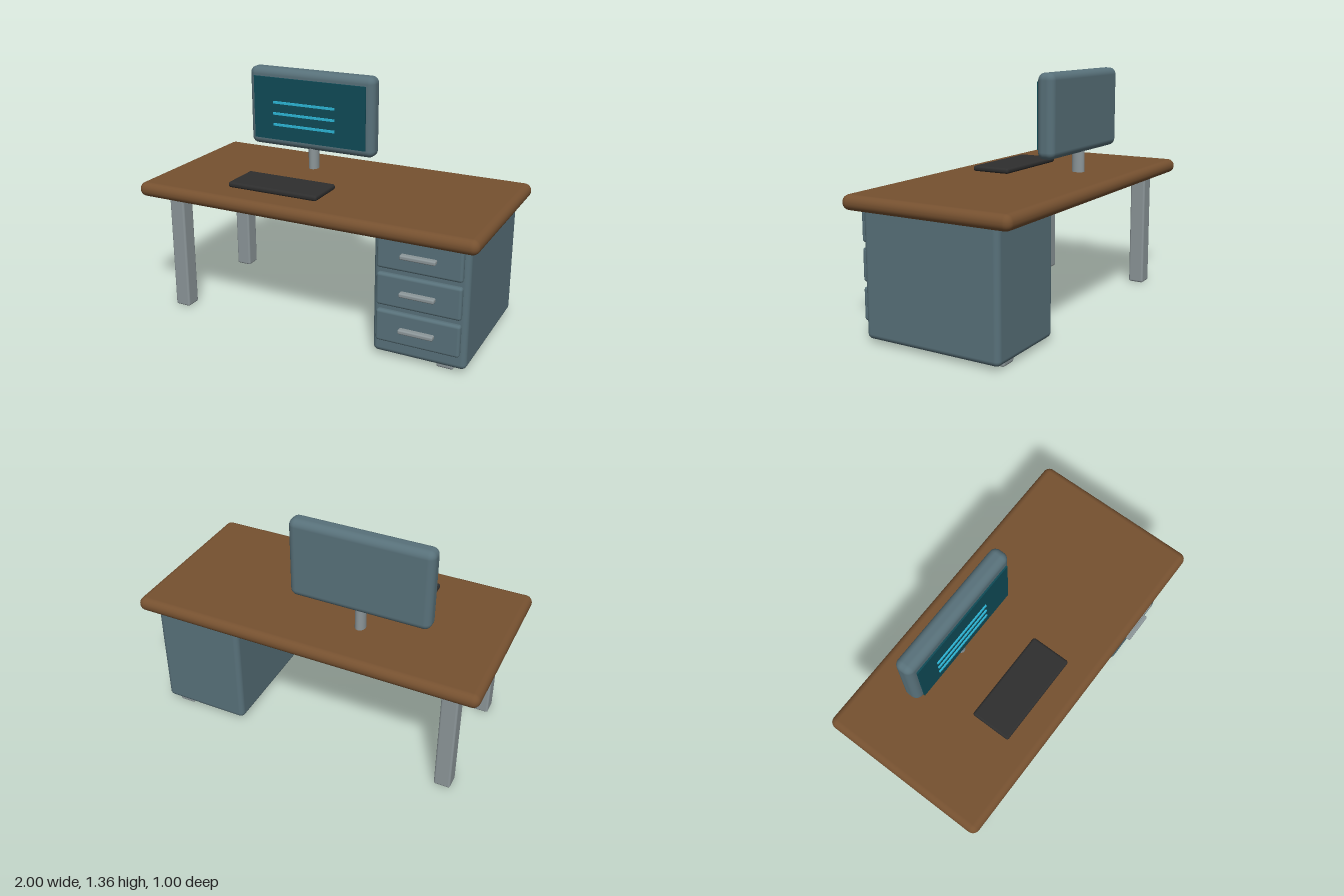
import * as THREE from 'three';
import { RoundedBoxGeometry } from 'three/addons/geometries/RoundedBoxGeometry.js';

const material = (name, color) => {
  const m = new THREE.MeshStandardMaterial({ color });
  m.name = name;
  return m;
};

export function createModel() {
  const wood = material('walnut wood', 0x765130);
  const slate = material('slate blue', 0x58717a);
  const metal = material('grey metal', 0x8c9699);
  const black = material('keyboard black', 0x2e2e2e);
  const glass = material('dark teal screen', 0x0f4b57);
  const cyan = material('cyan lines', 0x2cb5d6);

  const model = new THREE.Group();
  model.name = 'officeDesk';

  const add = (name, geometry, mat, x, y, z, parent = model) => {
    const mesh = new THREE.Mesh(geometry, mat);
    mesh.name = name;
    mesh.position.set(x, y, z);
    parent.add(mesh);
    return mesh;
  };
  // Rounded box given by its extents on each axis
  const rounded = (name, mat, [x0, x1], [y0, y1], [z0, z1], r, parent) =>
    add(name, new RoundedBoxGeometry(x1 - x0, y1 - y0, z1 - z0, 4, r), mat,
      (x0 + x1) / 2, (y0 + y1) / 2, (z0 + z1) / 2, parent);

  // Table top and four legs
  rounded('tableTop', wood, [-1, 1], [0.695, 0.777], [-0.5, 0.5], 0.04);
  for (const sx of [-1, 1]) {
    for (const sz of [-1, 1]) {
      const x = sx * 0.822, z = sz * 0.34;
      rounded((sz > 0 ? 'front' : 'back') + (sx > 0 ? 'Left' : 'Right') + 'Leg', metal,
        [x - 0.047, x + 0.047], [0, 0.72], [z - 0.047, z + 0.047], 0.012);
    }
  }

  // Drawer cabinet with three drawers and handles
  const cabinet = new THREE.Group();
  cabinet.name = 'drawerCabinet';
  model.add(cabinet);
  rounded('cabinetBody', slate, [0.42, 0.94], [0.02, 0.74], [-0.403, 0.405], 0.03, cabinet);
  for (let i = 0; i < 3; i++) {
    const y = 0.195 + i * 0.208;
    rounded('drawerFront', slate, [0.45, 0.912], [y - 0.09, y + 0.09], [0.4, 0.438], 0.015, cabinet);
    rounded('drawerHandle', metal, [0.586, 0.778], [y - 0.012, y + 0.012], [0.43, 0.468], 0.008, cabinet);
  }

  // Monitor: casing, screen plate, glowing lines and oval post
  const monitor = new THREE.Group();
  monitor.name = 'monitor';
  model.add(monitor);
  rounded('monitorCasing', slate, [-0.643, 0.163], [0.893, 1.36], [-0.251, -0.147], 0.04, monitor);
  add('screen', new THREE.BoxGeometry(0.72, 0.37, 0.009), glass, -0.24, 1.125, -0.136, monitor);
  for (const y of [1.032, 1.098, 1.165]) {
    add('screenLine', new THREE.BoxGeometry(0.4, 0.014, 0.008), cyan, -0.27, y, -0.1275, monitor);
  }
  const post = add('monitorPost', new THREE.CylinderGeometry(1, 1, 0.17, 24), metal, -0.24, 0.845, -0.199, monitor);
  post.scale.set(0.03, 1, 0.038);

  // Keyboard slab
  rounded('keyboard', black, [-0.5, 0.052], [0.776, 0.808], [0.1, 0.337], 0.014);

  return model;
}
